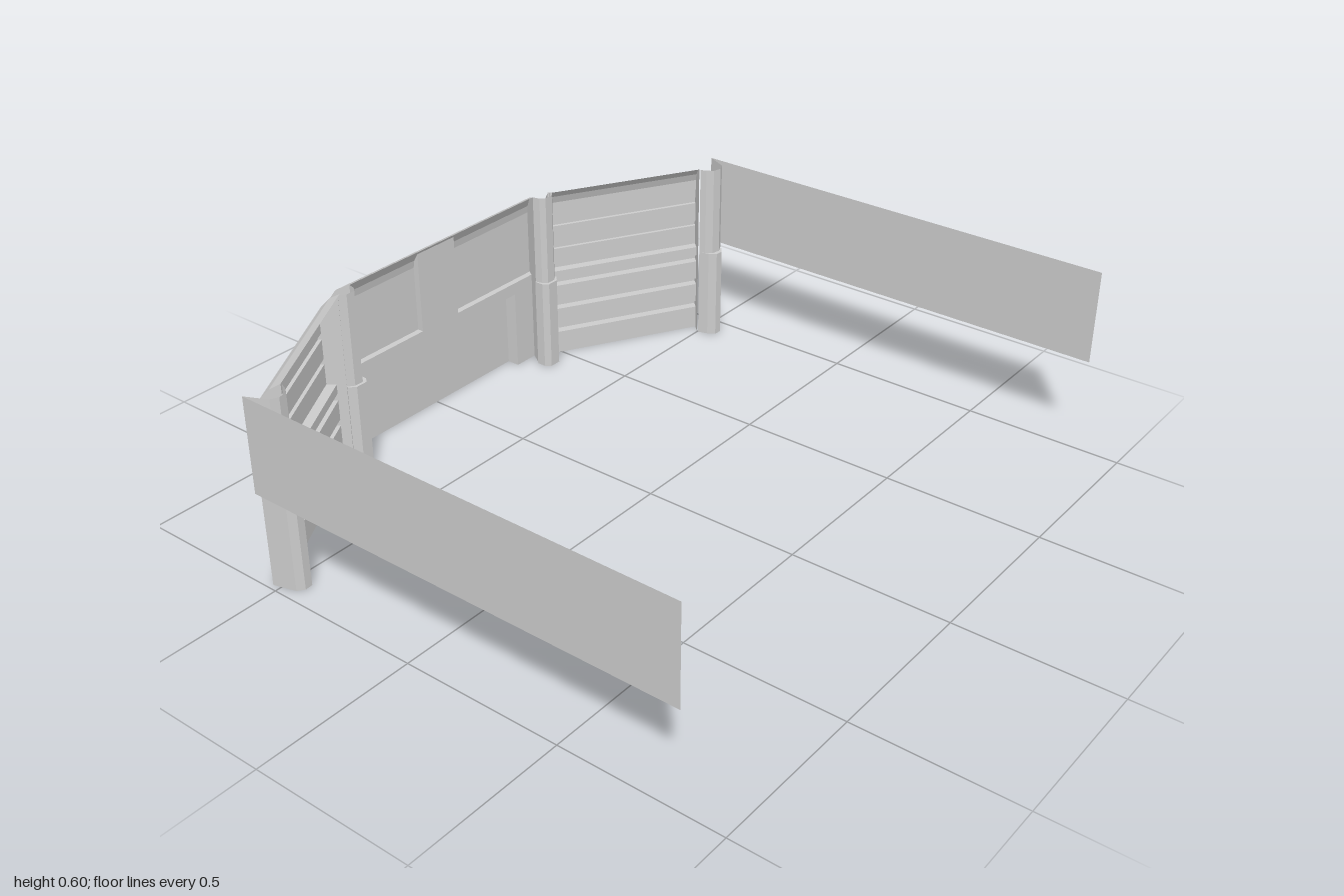
import * as THREE from 'three';

const material = new THREE.MeshStandardMaterial({ color: 0xcccccc, flatShading: true, side: THREE.DoubleSide });

const TOP = 0.595, SEAM = 0.3;

// Open shell skinned through a list of cross-sections of equal length
function skin(name, sections) {
  const pos = [];
  for (let i = 0; i < sections.length - 1; i++) {
    const a = sections[i], b = sections[i + 1];
    for (let j = 0; j < a.length - 1; j++) {
      pos.push(...a[j], ...b[j], ...b[j + 1], ...a[j], ...b[j + 1], ...a[j + 1]);
    }
  }
  return makeMesh(name, pos);
}

function makeMesh(name, pos) {
  const geo = new THREE.BufferGeometry();
  geo.setAttribute('position', new THREE.Float32BufferAttribute(pos, 3));
  geo.computeVertexNormals();
  const mesh = new THREE.Mesh(geo, material);
  mesh.name = name;
  return mesh;
}

// A profile of [depth outward, height] placed at x, with x shifted by slant * depth
const place = (profile, x, slant = 0) => profile.map(([d, y]) => [x + slant * d, y, -d]);

// Panel running from x0 to x1 along one profile
const panel = (name, profile, x0, x1, s0 = 0, s1 = 0) =>
  skin(name, [place(profile, x0, s0), place(profile, x1, s1)]);

// Flat closing face bounded by a profile
function cap(name, profile, x, slant = 0) {
  const pts = place(profile, x, slant);
  const flat = profile.map(([d, y]) => new THREE.Vector2(d, y));
  const pos = THREE.ShapeUtils.triangulateShape(flat, []).flatMap(t => t.flatMap(i => pts[i]));
  return makeMesh(name, pos);
}

// Profile with rectangular ribs, listed from the top downwards
function rib(base, out, yTop, yBottom) {
  return [[base, yTop], [out, yTop], [out, yBottom], [base, yBottom]];
}

function slattedPanel() {
  const g = new THREE.Group();
  g.name = 'slattedPanel';
  const profile = [
    [0, TOP], [0.03, 0.58], [0.055, 0.555], [0.065, 0.53],
    ...rib(0.065, 0.076, 0.467, 0.447),
    ...rib(0.065, 0.076, 0.384, 0.366),
    [0.065, SEAM], [0.035, SEAM],
    ...rib(0.035, 0.063, 0.27, 0.247),
    ...rib(0.035, 0.063, 0.183, 0.162),
    ...rib(0.035, 0.063, 0.098, 0.076),
    [0.035, 0],
  ];
  const half = 0.258, outer = -0.25, inner = -0.08;
  g.add(panel('slats', profile, -half, half, outer, inner));
  const closed = [...profile, [0, 0]];
  g.add(cap('outerEnd', closed, -half, outer));
  g.add(cap('innerEnd', closed, half, inner));
  g.position.set(-0.673, 0, -0.631);
  g.rotation.y = Math.PI / 6;
  return g;
}

// Channel post, a little wider below the seam
function post(name, lower, upper) {
  const ring = (path, y) => path.map(([x, z]) => [x, y, z]);
  return skin(name, [ring(lower, 0), ring(lower, SEAM), ring(upper, SEAM), ring(upper, TOP)]);
}

// One half of everything beside the centre wall
function wing(name) {
  const g = new THREE.Group();
  g.name = name;
  g.add(slattedPanel());
  g.add(post('innerPost',
    [[-0.45, -0.768], [-0.462, -0.752], [-0.442, -0.733], [-0.404, -0.733], [-0.39, -0.75], [-0.39, -0.78]],
    [[-0.45, -0.768], [-0.459, -0.757], [-0.44, -0.742], [-0.41, -0.742], [-0.398, -0.757], [-0.393, -0.78]]));
  g.add(post('outerPost',
    [[-0.985, -0.525], [-0.965, -0.455], [-0.945, -0.44], [-0.92, -0.442], [-0.905, -0.465], [-0.896, -0.497]],
    [[-1, -0.53], [-0.968, -0.463], [-0.945, -0.452], [-0.917, -0.458], [-0.903, -0.478], [-0.896, -0.497]]));
  // Long thin side wall
  g.add(skin('sideWall', [
    [[-1, SEAM, -0.53], [-1, TOP, -0.53]],
    [[-1, SEAM, 0.868], [-1, TOP, 0.868]],
  ]));
  return g;
}

function centreWall() {
  const g = new THREE.Group();
  g.name = 'centreWall';
  const base = 0.045, block = 0.086, half = 0.393, slant = 0.66;
  const notch = 0.078, blockX = 0.34, blockY = 0.26;
  const raised = [[base, 0.56], [0.06, 0.535], [0.065, 0.51], [0.065, SEAM], [base, SEAM]];
  const roof = [[0, TOP], [0.035, 0.577]];
  const upper = [...roof, ...raised];

  // Recessed middle strip and block
  g.add(panel('middleStrip', [...roof, [base, 0.56], [base, SEAM]], -notch, notch));
  g.add(panel('blockRim', [[base, SEAM], [base, blockY]], -blockX, blockX));
  g.add(panel('block', [[base, blockY], [block, blockY], [block, 0]], -blockX, blockX));

  for (const s of [-1, 1]) {
    g.add(panel('upperPanel', upper, s * notch, s * half, 0, s * slant));
    g.add(cap('stripCheek', raised, s * notch));
    g.add(panel('lowerPanel', [[base, SEAM], [base, 0]], s * blockX, s * half, 0, s * slant));
    g.add(cap('blockSide', [[base, blockY], [block, blockY], [block, 0], [base, 0]], s * blockX));
    g.add(cap('wallEnd', [...upper, [base, 0], [0, 0]], s * half, s * slant));
  }
  g.position.z = -0.78;
  return g;
}

export function createModel() {
  const model = new THREE.Group();
  model.name = 'curvedBarrier';
  const right = wing('rightWing');
  const left = wing('leftWing');
  left.scale.x = -1;
  model.add(centreWall(), right, left);
  return model;
}
